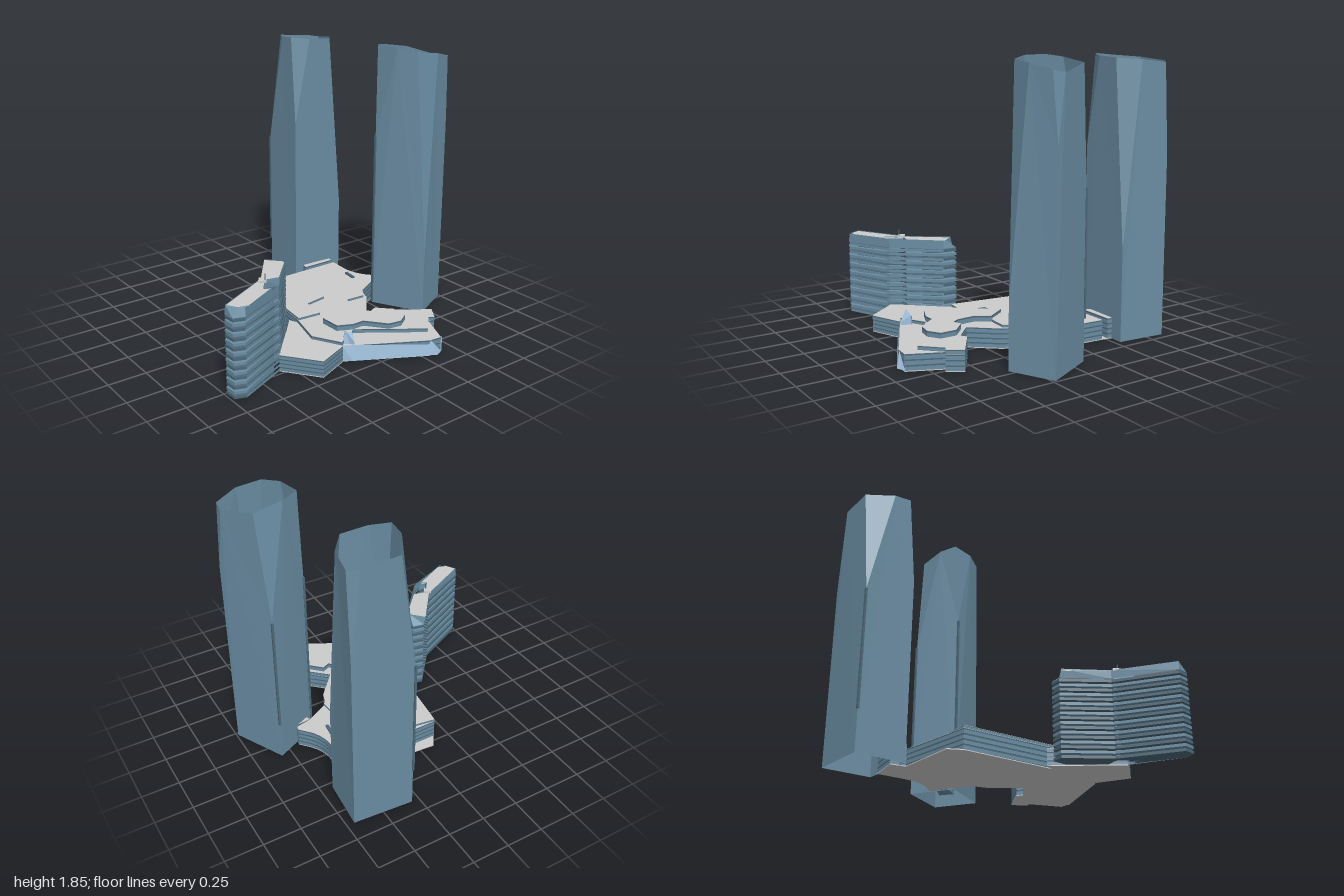
import * as THREE from 'three';

const mat = (color) => new THREE.MeshStandardMaterial({ color, flatShading: true, side: THREE.DoubleSide });
const GLASS = mat(0x6a8da3);
const DARK = mat(0x4d6878);
const PALE = mat(0x9dbdda);
const GREY = mat(0xcccccc);

function add(parent, geometry, material, name) {
  const mesh = new THREE.Mesh(geometry, material);
  mesh.name = name;
  parent.add(mesh);
  return mesh;
}

// upright prism from a plan outline of [x, z] points
function prism(plan, y0, y1) {
  const shape = new THREE.Shape(plan.map(([x, z]) => new THREE.Vector2(x, -z)));
  return new THREE.ExtrudeGeometry(shape, { depth: y1 - y0, bevelEnabled: false })
    .rotateX(-Math.PI / 2).translate(0, y0, 0);
}

// flat convex polygons of [x, y, z] corners, fanned into triangles
function polygons(faces) {
  const pos = [];
  for (const f of faces)
    for (let i = 1; i < f.length - 1; i++) pos.push(...f[0], ...f[i], ...f[i + 1]);
  const g = new THREE.BufferGeometry();
  g.setAttribute('position', new THREE.Float32BufferAttribute(pos, 3));
  g.computeVertexNormals();
  return g;
}

// walls between two outlines with the same number of points
function loft(low, high, closed) {
  const faces = [];
  for (let i = 0; i < low.length - (closed ? 0 : 1); i++) {
    const j = (i + 1) % low.length;
    faces.push([low[i], low[j], high[j], high[i]]);
  }
  return polygons(faces);
}
const at = (plan, y) => plan.map(([x, z]) => [x, y, z]);

// open glass tower; every corner is cut by a tall triangular facet.
// corner: foot [x, z], height of the facet's tip, two rim points (counterclockwise from above)
function tower(name, corners) {
  const group = new THREE.Group();
  group.name = name;
  const sides = [], facets = [];
  corners.forEach((c, i) => {
    const n = corners[(i + 1) % corners.length];
    const tip = [c.foot[0], c.tip, c.foot[1]];
    const nextTip = [n.foot[0], n.tip, n.foot[1]];
    sides.push([c.rim[1], tip, [c.foot[0], 0, c.foot[1]], [n.foot[0], 0, n.foot[1]], nextTip, n.rim[0]]);
    facets.push([tip, c.rim[1], c.rim[0]]);
    // slim corner fin
    if (c.fin) add(group, new THREE.BoxGeometry(0.014, c.tip - c.fin, 0.014)
      .translate(c.foot[0], (c.tip + c.fin) / 2, c.foot[1]), DARK, 'cornerFin');
  });
  add(group, polygons(sides), GLASS, 'towerWalls');
  add(group, polygons(facets), GLASS, 'cornerFacets');
  return group;
}

function towers(root) {
  root.add(tower('leftTower', [
    { foot: [-0.905, -0.3], tip: 1.07, fin: 0.27, rim: [[-0.9, 1.82, -0.4], [-0.73, 1.835, -0.295]] },
    { foot: [-0.555, -0.28], tip: 1.23, rim: [[-0.61, 1.845, -0.285], [-0.548, 1.83, -0.4]] },
    { foot: [-0.54, -0.67], tip: 0.6, rim: [[-0.54, 1.82, -0.57], [-0.67, 1.81, -0.67]] },
    { foot: [-0.875, -0.7], tip: 1.2, rim: [[-0.84, 1.79, -0.7], [-0.885, 1.8, -0.64]] },
  ]));
  root.add(tower('rearTower', [
    { foot: [-0.112, -0.82], tip: 1.07, fin: 0.27, rim: [[-0.05, 1.8, -0.86], [-0.045, 1.83, -0.67]] },
    { foot: [0.03, -0.53], tip: 1.23, fin: 0.01, rim: [[0.005, 1.845, -0.555], [0.17, 1.84, -0.58]] },
    { foot: [0.365, -0.71], tip: 0.4, rim: [[0.29, 1.82, -0.65], [0.305, 1.8, -0.815]] },
    { foot: [0.23, -0.99], tip: 1.34, rim: [[0.25, 1.765, -0.96], [0.17, 1.75, -0.97]] },
  ]));
}

// storeys of glass with a projecting-colour slab between, topped by a grey roof
function storeys(parent, name, plan, y0, y1, count) {
  const group = new THREE.Group();
  group.name = name;
  const h = (y1 - y0) / count;
  for (let i = 0; i < count; i++) {
    const y = y0 + i * h;
    add(group, prism(plan, y, y + h * 0.7), GLASS, 'glassBand');
    add(group, prism(plan, y + h * 0.7, y + h - 0.002), DARK, 'floorEdge');
  }
  add(group, prism(plan, y1 - 0.002, y1), GREY, 'roof');
  parent.add(group);
}

function podium(root) {
  const curve = new THREE.CatmullRomCurve3([[-0.47, -0.57], [-0.36, -0.56], [-0.27, -0.56], [-0.17, -0.595], [-0.07, -0.675]]
    .map(([x, z]) => new THREE.Vector3(x, 0, z))).getPoints(16).map((p) => [p.x, p.z]);
  const plaza = [[-0.045, -0.67], [-0.02, -0.56], [0.07, -0.395], [0.17, -0.36], [0.345, -0.21]];
  const wing = [[0.345, -0.21], [0.47, -0.34], [0.445, -0.38], [0.585, -0.58], [0.68, -0.515], [0.66, -0.48],
    [0.88, -0.38], [0.87, -0.29], [0.635, 0.14], [0.6, 0.2]];
  const terrace = [[0.61, 0.2], [0.695, 0.415], [0.47, 0.585], [0.2, 0.335], [0.11, 0.255], [0.18, 0.225]];

  // ground slab
  add(root, prism([...curve, ...plaza, ...wing.slice(1), ...terrace, [-0.46, 0.155], [-0.545, 0.1],
    [-0.51, -0.335], [-0.61, -0.36], [-0.55, -0.58]], 0, 0.006), GREY, 'groundSlab');

  // stepped roofs
  storeys(root, 'podiumBase', [...curve, ...plaza, [0.505, 0.03], [0.6, 0.2], [0.42, 0.3], [0.18, 0.235], [-0.465, 0.155]],
    0.006, 0.135, 4);
  storeys(root, 'mainTier', [[-0.38, -0.43], [-0.09, -0.4], [0.06, -0.41], [0.16, -0.34], [0.15, -0.2], [0.24, -0.14],
    [0.015, -0.11], [0.04, 0.055], [0.205, 0.07], [0.19, 0.235], [-0.465, 0.155]], 0.135, 0.152, 1);
  storeys(root, 'upperTier', [[0.015, -0.11], [0.32, 0.135], [0.46, 0.13], [0.505, 0.03], [0.505, -0.05], [0.635, -0.155],
    [0.65, -0.245], [0.6, -0.325], [0.49, -0.325], [0.4, -0.235], [0.425, -0.18], [0.37, -0.145], [0.24, -0.14],
    [0.15, -0.2]], 0.135, 0.175, 1);
  storeys(root, 'frontTerrace', terrace, 0.006, 0.112, 4);
  storeys(root, 'wing', wing, 0.006, 0.11, 3);
  storeys(root, 'wingUpperTier', [[0.345, -0.21], [0.47, -0.34], [0.445, -0.38], [0.585, -0.58], [0.68, -0.515],
    [0.66, -0.48], [0.78, -0.36], [0.505, 0.03]], 0.11, 0.137, 1);

  // links to the towers
  storeys(root, 'leftTowerLink', [[-0.61, -0.36], [-0.51, -0.335], [-0.51, -0.575], [-0.55, -0.58]], 0.006, 0.14, 4);
  storeys(root, 'rearTowerLink', [[-0.03, -0.645], [0.065, -0.735], [0.12, -0.645], [-0.02, -0.56]], 0.006, 0.14, 4);

  // sloping glass front of the wing
  add(root, loft(
    at([[0.88, -0.39], [0.905, -0.33], [0.65, 0.15], [0.6, 0.205]], 0.01),
    at([[0.88, -0.39], [0.87, -0.3], [0.635, 0.14], [0.6, 0.2]], 0.11), false), PALE, 'slopingGlassFront');

  // pointed glass entrance
  const base = at([[0.54, 0.14], [0.575, 0.095], [0.64, 0.13], [0.585, 0.205]], 0.01);
  const crown = [[0.545, 0.15, 0.14], [0.575, 0.17, 0.1], [0.635, 0.13, 0.13], [0.58, 0.2, 0.16]];
  add(root, loft(base, crown, true), PALE, 'glassEntrance');
  add(root, polygons([crown]), PALE, 'entranceTop');

  // small roof plant
  add(root, new THREE.BoxGeometry(0.1, 0.012, 0.02).rotateY(-0.12).translate(-0.19, 0.142, -0.5), DARK, 'roofPlant');
}

function slabBuilding(root) {
  const group = new THREE.Group();
  group.name = 'slabBuilding';
  // plan with an open notch behind the glass screen
  const plan = [[0.075, 0.41], [0.09, 0.33], [0.19, 0.335], [0.38, 0.51], [0.35, 0.61], [0.46, 0.685],
    [0.48, 0.63], [0.62, 0.915], [0.595, 0.985], [0.515, 0.99], [0.325, 0.615]];
  const roof = [[0.08, 0.425], [0.165, 0.345], [0.19, 0.345], [0.375, 0.515], [0.355, 0.61], [0.46, 0.685],
    [0.48, 0.64], [0.605, 0.88], [0.59, 0.945], [0.52, 0.985], [0.325, 0.615]];
  const pitch = 0.0305;
  for (let i = 0; i < 17; i++)
    add(group, prism(plan, 0.006 + i * pitch, 0.024 + i * pitch), i % 2 ? GLASS : DARK, 'floor');

  // inner cores
  for (const [x, z, turn] of [[0.22, 0.43, -0.72], [0.52, 0.83, -1.1]])
    add(group, new THREE.BoxGeometry(0.14, 0.5, 0.05).rotateY(turn).translate(x, 0.256, z), DARK, 'core');

  // sloped crown and roof
  add(group, loft(at(plan, 0.518), at(roof, 0.575), true), GLASS, 'crown');
  add(group, prism(roof, 0.562, 0.57), GREY, 'roof');

  // screen along the notch
  const screen = [[0.19, 0.335], [0.475, 0.585], [0.62, 0.915]];
  add(group, loft(at(screen, 0.515), at(screen, 0.575), false), GLASS, 'roofScreen');
  for (let i = 0; i < 17; i++)
    add(group, loft(at(screen, 0.006 + i * pitch), at(screen, 0.024 + i * pitch), false), GLASS, 'screenBand');

  // roof hatch and mast
  add(group, new THREE.BoxGeometry(0.05, 0.016, 0.05).rotateY(-0.6).translate(0.36, 0.577, 0.625), GREY, 'roofHatch');
  add(group, new THREE.CylinderGeometry(0.003, 0.003, 0.05, 6).translate(0.38, 0.6, 0.62), DARK, 'mast');
  root.add(group);
}

export function createModel() {
  const root = new THREE.Group();
  root.name = 'towerComplex';
  towers(root);
  podium(root);
  slabBuilding(root);
  return root;
}
